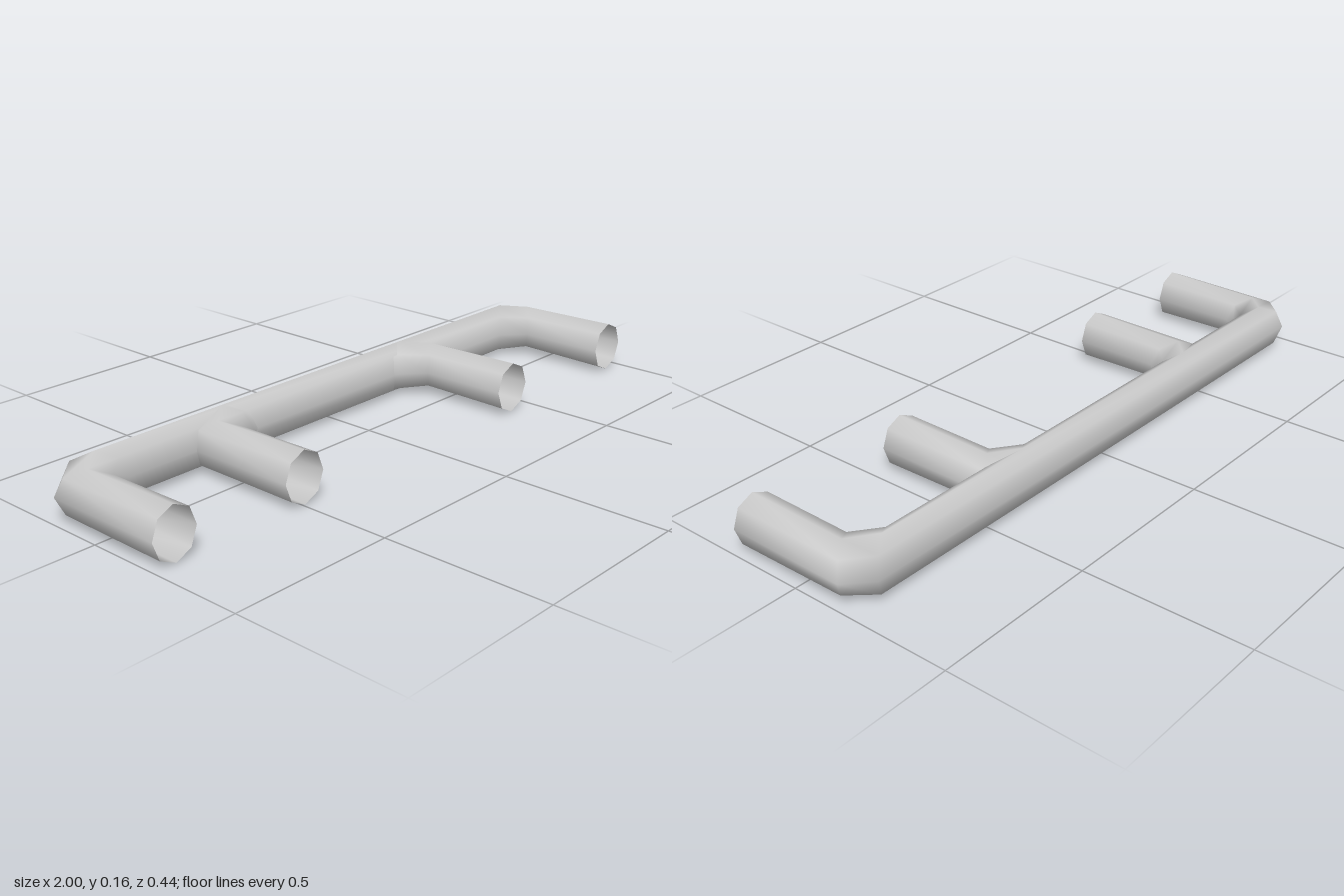
import * as THREE from 'three';

const SIDES = 8;
const MID_Y = 0.08;
const material = new THREE.MeshStandardMaterial({ color: 0xcccccc, side: THREE.DoubleSide });

// Open tube through rings [x, z, hx, hz, ry]: centre, half-width vector to the inner side, half-height
function tube(name, rings) {
  const pos = [], idx = [];
  for (const [x, z, hx, hz, ry] of rings) {
    for (let j = 0; j < SIDES; j++) {
      const a = (j / SIDES) * Math.PI * 2, c = Math.cos(a);
      pos.push(x + c * hx, MID_Y + Math.sin(a) * ry, z + c * hz);
    }
  }
  for (let i = 0; i < rings.length - 1; i++) {
    for (let j = 0; j < SIDES; j++) {
      const a = i * SIDES + j, b = i * SIDES + (j + 1) % SIDES;
      idx.push(a, a + SIDES, b, b, a + SIDES, b + SIDES);
    }
  }
  const geometry = new THREE.BufferGeometry();
  geometry.setAttribute('position', new THREE.Float32BufferAttribute(pos, 3));
  geometry.setIndex(idx);
  geometry.computeVertexNormals();
  const mesh = new THREE.Mesh(geometry, material);
  mesh.name = name;
  return mesh;
}

// Leg and mitred elbow, turning from the front opening towards +x
const elbow = (x) => [
  [x, 0.222, 0.069, 0, 0.077],
  [x, -0.102, 0.07, 0.052, 0.071],
  [x + 0.07, -0.168, 0.07, 0.054, 0.079],
];

// Mirrored in x, with the order reversed so faces stay outward
const mirror = (rings) => rings.map(([x, z, hx, hz, ry]) => [-x, z, -hx, hz, ry]).reverse();

// Branch: an elbow whose far end runs on inside the crossbar
const branch = (x) => {
  const [front, bend, end] = elbow(x);
  return [front, bend, [end[0], -0.166, 0.07, 0.053, 0.0785], [x + 0.2, -0.167, 0, 0.05, 0.073]];
};

export function createModel() {
  const group = new THREE.Group();
  group.name = 'tubularBar';

  // Crossbar with both outer legs in one continuous tube
  group.add(tube('crossbarWithOuterLegs', [...elbow(-0.931), ...mirror(elbow(-0.928))]));

  // Inner legs bend towards each other into the crossbar
  group.add(tube('rightInnerLeg', branch(-0.495)));
  group.add(tube('leftInnerLeg', mirror(branch(-0.402))));
  return group;
}
